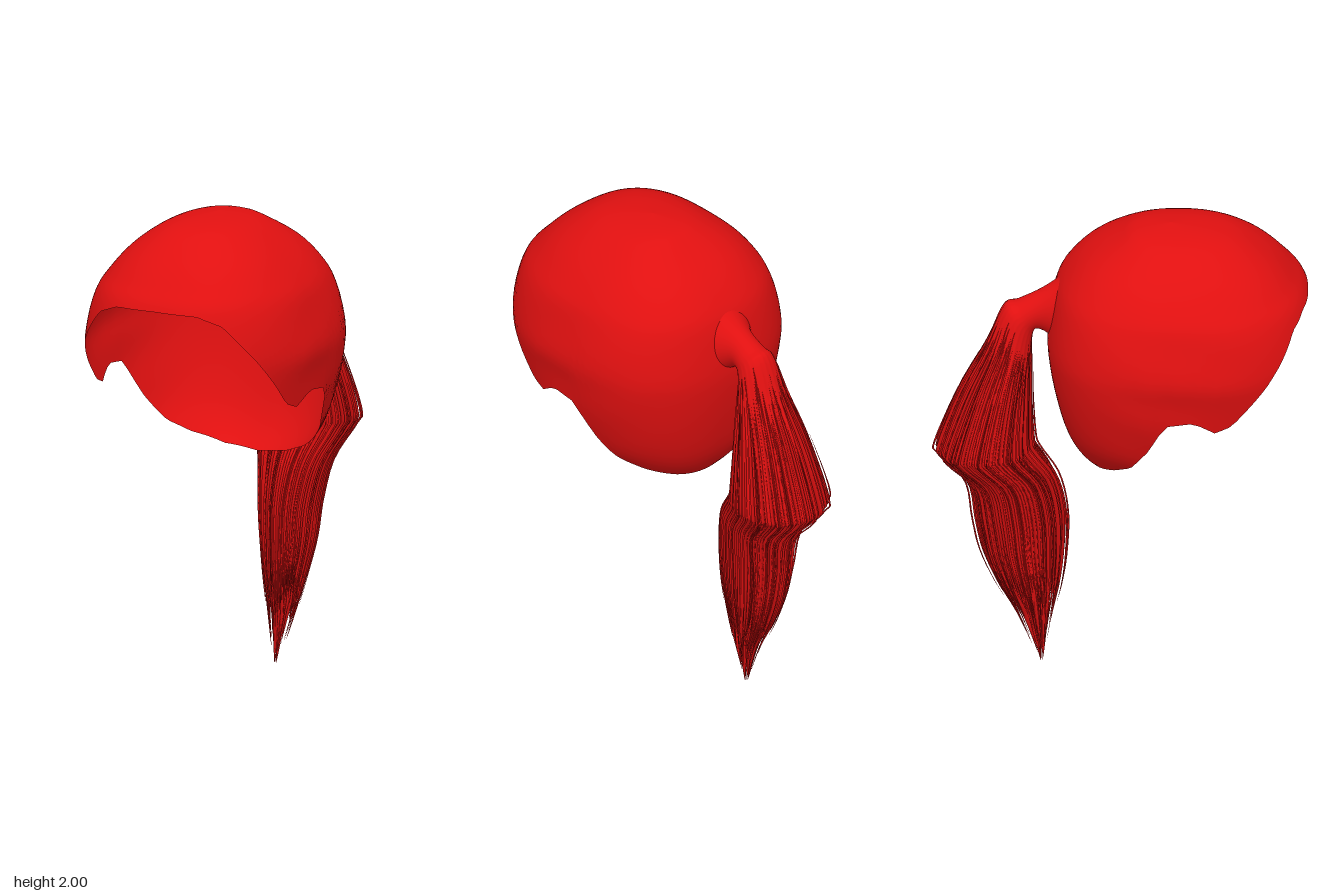
import * as THREE from 'three';

const hair = new THREE.MeshStandardMaterial({ color: 0xe01010, side: THREE.DoubleSide });
hair.name = 'redHair';

// Small seeded random generator
let seed = 7;
const rand = () => (seed = (seed * 16807) % 2147483647) / 2147483647;

// Smooth interpolation through rows of numbers; s runs over the row indices
function sample(rows, s) {
  const n = rows.length - 1;
  const i = Math.min(Math.max(Math.floor(s), 0), n - 1);
  const t = s - i;
  const at = (k) => rows[Math.min(Math.max(k, 0), n)];
  const [a, b, c, d] = [at(i - 1), at(i), at(i + 1), at(i + 2)];
  return b.map((v, k) => v + 0.5 * t * (c[k] - a[k] + t * (2 * a[k] - 5 * v + 4 * c[k] - d[k]
    + t * (3 * (v - c[k]) + d[k] - a[k]))));
}

// Skin of rings x sides points; point(i, j) returns [x, y, z]
function skin(rings, sides, point) {
  const pos = [], idx = [];
  for (let i = 0; i <= rings; i++) for (let j = 0; j < sides; j++) pos.push(...point(i, j));
  for (let i = 0; i < rings; i++) {
    for (let j = 0; j < sides; j++) {
      const k = (j + 1) % sides;
      const a = i * sides + j, b = a + sides, c = (i + 1) * sides + k, d = i * sides + k;
      idx.push(a, b, c, a, c, d);
    }
  }
  const g = new THREE.BufferGeometry();
  g.setAttribute('position', new THREE.Float32BufferAttribute(pos, 3));
  g.setIndex(idx);
  g.computeVertexNormals();
  return g;
}

function addMesh(parent, name, geometry) {
  const m = new THREE.Mesh(geometry, hair);
  m.name = name;
  parent.add(m);
  return m;
}

// Scalp levels: height, half width, front z, back z
const SCALP = [
  [2.0, 0, 0.2, 0.2], [1.985, 0.11, 0.36, 0.06], [1.95, 0.205, 0.48, -0.01],
  [1.87, 0.315, 0.6, -0.14], [1.78, 0.395, 0.69, -0.225], [1.69, 0.445, 0.755, -0.27],
  [1.52, 0.488, 0.785, -0.298], [1.4, 0.478, 0.78, -0.295], [1.25, 0.448, 0.76, -0.27],
  [1.1, 0.39, 0.74, -0.23], [1.0, 0.31, 0.72, -0.18], [0.93, 0.22, 0.7, -0.12],
];

// Hairline: angle from the front in degrees, height
const HEM = [
  [0, 1.695], [20, 1.69], [34, 1.65], [51, 1.5], [64, 1.37], [71, 1.295], [78, 1.27],
  [86, 1.325], [94, 1.31], [101, 1.17], [112, 1.05], [125, 1.0], [150, 0.95], [180, 0.93],
];

function hemHeight(deg) {
  let i = 0;
  while (i < HEM.length - 2 && HEM[i + 1][0] < deg) i++;
  const [a, b] = [HEM[i], HEM[i + 1]];
  return a[1] + (b[1] - a[1]) * (deg - a[0]) / (b[0] - a[0]);
}

// Scalp row at which the given height is reached
function levelOf(y) {
  let lo = 0, hi = SCALP.length - 1;
  for (let k = 0; k < 30; k++) {
    const mid = (lo + hi) / 2;
    if (sample(SCALP, mid)[0] > y) lo = mid; else hi = mid;
  }
  return lo;
}

function capGeometry() {
  const rings = 32, sides = 120;
  const ends = Array.from({ length: sides }, (_, j) => {
    const deg = j * 360 / sides;
    return levelOf(hemHeight(deg > 180 ? 360 - deg : deg));
  });
  const round = (v) => Math.sign(v) * Math.abs(v) ** 0.833;
  return skin(rings, sides, (i, j) => {
    const a = j / sides * Math.PI * 2;
    const [y, w, front, back] = sample(SCALP, ends[j] * i / rings);
    const mid = 0.2 + 0.02 * Math.min(1, w / 0.3);
    const c = round(Math.cos(a));
    // faint combed folds on the sides and back
    const fold = 1 + 0.005 * Math.sin(26 * y + 5 * Math.cos(a)) * Math.sin(a) ** 2;
    return [w * round(Math.sin(a)) * fold, y, mid + c * (c > 0 ? front - mid : mid - back)];
  });
}

// Ponytail sections: inner z, inner y, outer z, outer y, half width, sideways shift
const TAIL = [
  [-0.255, 1.45, -0.19, 1.79, 0.16, 0], [-0.295, 1.5, -0.25, 1.74, 0.105, 0],
  [-0.33, 1.52, -0.33, 1.69, 0.07, 0], [-0.35, 1.52, -0.42, 1.645, 0.07, 0],
  [-0.36, 1.48, -0.48, 1.62, 0.085, 0], [-0.365, 1.38, -0.55, 1.45, 0.11, 0],
  [-0.37, 1.2, -0.65, 1.25, 0.155, 0], [-0.365, 1.02, -0.74, 1.01, 0.195, 0],
  [-0.345, 0.96, -0.73, 0.95, 0.18, 0], [-0.27, 0.84, -0.62, 0.82, 0.13, 0],
  [-0.235, 0.68, -0.59, 0.65, 0.1, -0.005], [-0.235, 0.5, -0.56, 0.5, 0.085, -0.005],
  [-0.25, 0.35, -0.5, 0.35, 0.068, -0.01], [-0.28, 0.2, -0.42, 0.2, 0.05, -0.015],
  [-0.315, 0.0, -0.335, 0.0, 0.012, -0.03],
];

// Point on a ponytail section at angle a and radius fraction f
function tailPoint(s, a, f) {
  const [zi, yi, zo, yo, w, shift] = sample(TAIL, s);
  const c = f * Math.cos(a) / 2;
  return [shift + w * f * Math.sin(a), (yi + yo) / 2 + c * (yi - yo), (zi + zo) / 2 + c * (zi - zo)];
}

// Solid body with combed ridges that begin below the tie
function coreGeometry() {
  const rings = 60, sides = 72, last = 13;
  return skin(rings, sides, (i, j) => {
    const s = last * i / rings;
    const a = j / sides * Math.PI * 2;
    const depth = 0.09 * Math.min(1, Math.max(0, (s - 3) / 3));
    const ridge = (j % 3 === 0 ? 1 : 0.3) * depth;
    const taper = s > 11.5 ? 1 - 0.45 * (s - 11.5) / 1.5 : 1;
    return tailPoint(s, a, (1 - ridge) * taper);
  });
}

// One thin tapering lock, three sided
function lockGeometry(a, f, start, end, radius) {
  const rings = 28;
  return skin(rings, 3, (i, j) => {
    const t = i / rings;
    const p = tailPoint(start + (end - start) * t, a, f);
    const r = radius * Math.min(1, t * 6, (1 - t) * 3.5) + 0.0005;
    const b = a + j / 3 * Math.PI * 2;
    return [p[0] + r * Math.sin(b), p[1], p[2] + r * Math.cos(b)];
  });
}

export function createModel() {
  const model = new THREE.Group();
  model.name = 'ponytailHair';
  addMesh(model, 'hairCap', capGeometry());

  // Gathered knot on the inside of the cap
  const knot = addMesh(model, 'innerKnot', new THREE.TorusGeometry(0.055, 0.022, 8, 20));
  knot.position.set(0, 1.61, -0.26);

  const tail = new THREE.Group();
  tail.name = 'ponytail';
  model.add(tail);
  addMesh(tail, 'ponytailBody', coreGeometry());

  // Surface locks of uneven length
  for (let k = 0; k < 80; k++) {
    const a = (k + rand() * 0.6) / 80 * Math.PI * 2;
    addMesh(tail, 'lock', lockGeometry(a, 0.93 + rand() * 0.06, 4 + rand(), 12 + rand() * 1.6, 0.01));
  }
  // Inner locks forming the pointed tip
  for (let k = 0; k < 24; k++) {
    const end = k < 5 ? 14 : 13 + rand() * 0.8;
    addMesh(tail, 'tipLock', lockGeometry(rand() * Math.PI * 2, 0.2 + rand() * 0.55, 10, end, 0.018));
  }
  // Loose flyaway strands
  for (let k = 0; k < 22; k++) {
    const a = rand() * Math.PI * 2;
    addMesh(tail, 'flyaway', lockGeometry(a, 1.02 + rand() * 0.08, 5 + rand() * 2, 11.5 + rand() * 1.5, 0.004));
  }
  return model;
}
